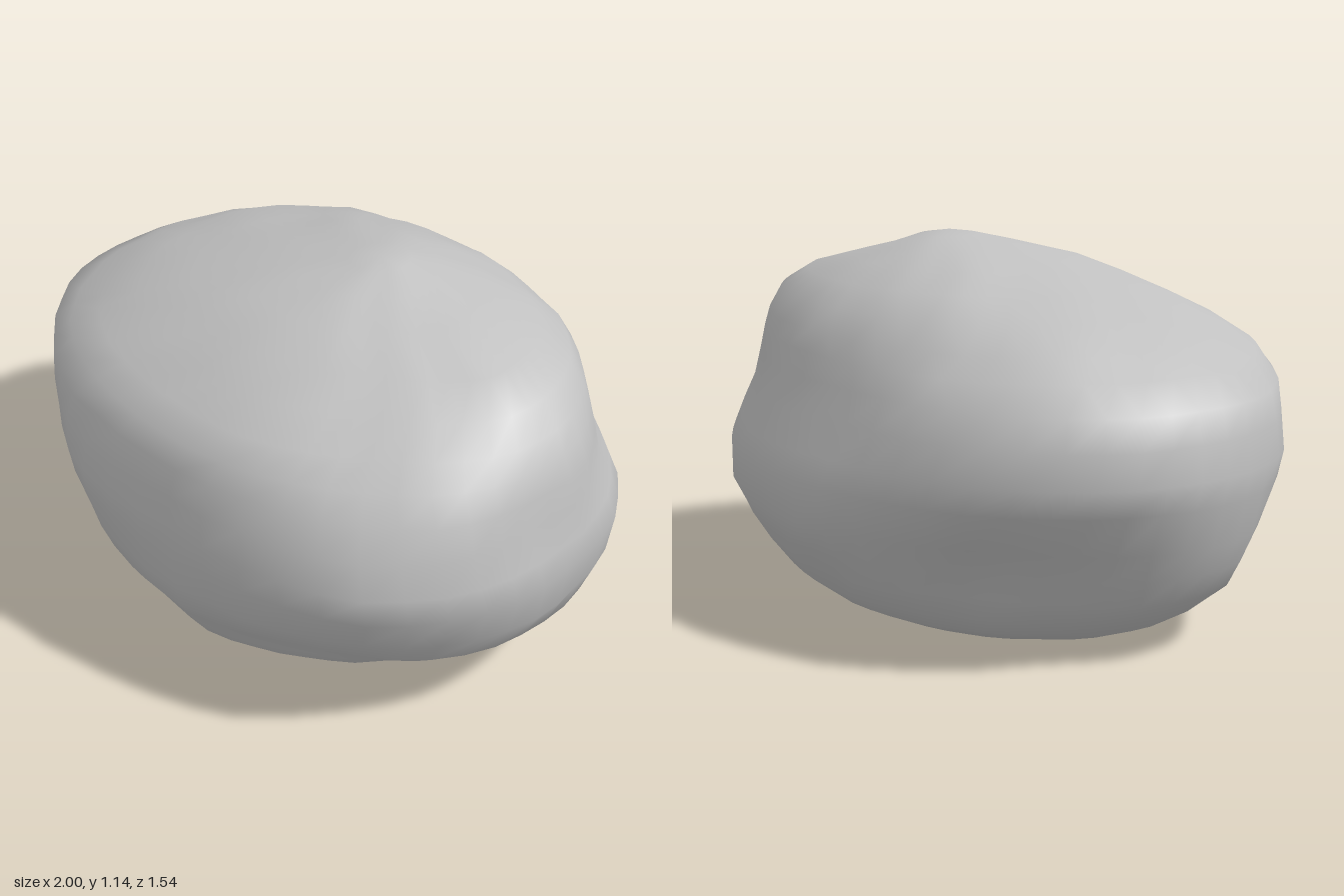
import * as THREE from 'three';

// Horizontal layers: height, right x, left x, back z, front z
const LAYERS = [
  [0, -0.56, 0.55, -0.43, 0.52],
  [0.04, -0.66, 0.64, -0.51, 0.58],
  [0.1, -0.77, 0.74, -0.59, 0.62],
  [0.18, -0.87, 0.84, -0.65, 0.67],
  [0.26, -0.91, 0.925, -0.7, 0.72],
  [0.35, -0.955, 0.97, -0.75, 0.75],
  [0.48, -0.99, 1.0, -0.77, 0.77],
  [0.56, -1.0, 0.985, -0.74, 0.765],
  [0.66, -0.98, 0.955, -0.69, 0.745],
  [0.75, -0.955, 0.94, -0.65, 0.715],
  [0.82, -0.84, 0.905, -0.62, 0.68],
  [0.88, -0.73, 0.865, -0.59, 0.61],
  [0.95, -0.6, 0.8, -0.54, 0.5],
  [1.01, -0.42, 0.69, -0.46, 0.39],
  [1.06, -0.25, 0.48, -0.37, 0.26],
  [1.1, -0.09, 0.32, -0.28, 0.12],
  [1.13, 0.06, 0.23, -0.18, 0],
];
const TOP = [0.15, 1.143, -0.08];
const SEGMENTS = 48;
const ROUNDNESS = 2.2;

// Fullness of the four diagonal corners by height:
// height, front left, front right, back right, back left
const CORNERS = [
  [0, 0.95, 0.93, 0.96, 1],
  [0.15, 0.95, 0.9, 0.88, 1],
  [0.3, 0.99, 0.9, 0.88, 0.99],
  [0.5, 1.03, 0.94, 1, 0.95],
  [0.7, 1.02, 0.95, 1.04, 0.96],
  [0.85, 0.93, 0.99, 1, 1],
  [1, 0.86, 1.04, 0.97, 1],
  [1.2, 0.9, 1, 1, 1],
];

function cornerScale(y, angle) {
  const corner = 1 + Math.min(3, Math.floor(angle / (Math.PI / 2)));
  const i = CORNERS.findIndex((row) => row[0] > y);
  const lower = CORNERS[i - 1], upper = CORNERS[i];
  const t = (y - lower[0]) / (upper[0] - lower[0]);
  const fullness = THREE.MathUtils.lerp(lower[corner], upper[corner], t);
  return 1 + (fullness - 1) * Math.sin(2 * angle) ** 2;
}

// Dents and swellings: x, y, z, radius, push outwards
const LUMPS = [
  [-0.65, 0.36, 0.5, 0.2, -0.03],
  [-0.4, 0.72, 0.6, 0.25, 0.02],
  [0.45, 0.12, 0.55, 0.22, -0.03],
  [0.1, 0.5, -0.7, 0.2, 0.015],
  [0.5, 0.62, -0.55, 0.14, -0.02],
];

// Gentle uneven surface
const ripple = (x, y, z) =>
  0.007 * Math.sin(7 * x + 3 * z + 1) * Math.sin(8 * y - 4 * z) +
  0.006 * Math.sin(13 * z - 6 * x + 2) * Math.cos(11 * y + 5 * x) +
  0.005 * Math.sin(21 * x + 9 * y) * Math.sin(19 * z + 4);

function layerPoint([y, x0, x1, z0, z1], angle) {
  const c = Math.cos(angle), s = Math.sin(angle);
  const r = cornerScale(y, angle) *
    Math.pow(Math.abs(c) ** ROUNDNESS + Math.abs(s) ** ROUNDNESS, -1 / ROUNDNESS);
  const x = (x0 + x1) / 2 + c * r * (x1 - x0) / 2;
  const z = (z0 + z1) / 2 + s * r * (z1 - z0) / 2;
  let push = ripple(x, y, z);
  for (const [lx, ly, lz, radius, amount] of LUMPS) {
    const d2 = (x - lx) ** 2 + (y - ly) ** 2 + (z - lz) ** 2;
    push += amount * Math.exp(-d2 / (radius * radius));
  }
  // The base stays flat; the crown is pushed partly upwards
  const lift = y > 0.8 && y < 1.1 ? push * 0.6 : 0;
  return [x + c * push, y + lift, z + s * push];
}

const ring = (layer) => Array.from({ length: SEGMENTS },
  (_, j) => layerPoint(layer, (j / SEGMENTS) * Math.PI * 2)).flat();

// Stacked rings closed by a crown point and a flat underside
function boulderGeometry() {
  const positions = [...LAYERS.flatMap(ring), ...TOP, 0, 0, 0];
  const indices = [];
  const last = LAYERS.length - 1;
  const apex = LAYERS.length * SEGMENTS;
  for (let j = 0; j < SEGMENTS; j++) {
    const k = (j + 1) % SEGMENTS;
    for (let i = 0; i < last; i++) {
      const a = i * SEGMENTS + j, b = i * SEGMENTS + k;
      indices.push(a, a + SEGMENTS, b, b, a + SEGMENTS, b + SEGMENTS);
    }
    indices.push(apex, last * SEGMENTS + k, last * SEGMENTS + j);
    indices.push(apex + 1, j, k);
  }
  const geometry = new THREE.BufferGeometry();
  geometry.setAttribute('position', new THREE.Float32BufferAttribute(positions, 3));
  geometry.setIndex(indices);
  geometry.computeVertexNormals();
  return geometry;
}

export function createModel() {
  const group = new THREE.Group();
  group.name = 'boulder';
  const stone = new THREE.MeshStandardMaterial({ color: 0xc0c0c0 });
  stone.name = 'grey stone';

  const body = new THREE.Mesh(boulderGeometry(), stone);
  body.name = 'boulderBody';
  group.add(body);
  return group;
}
